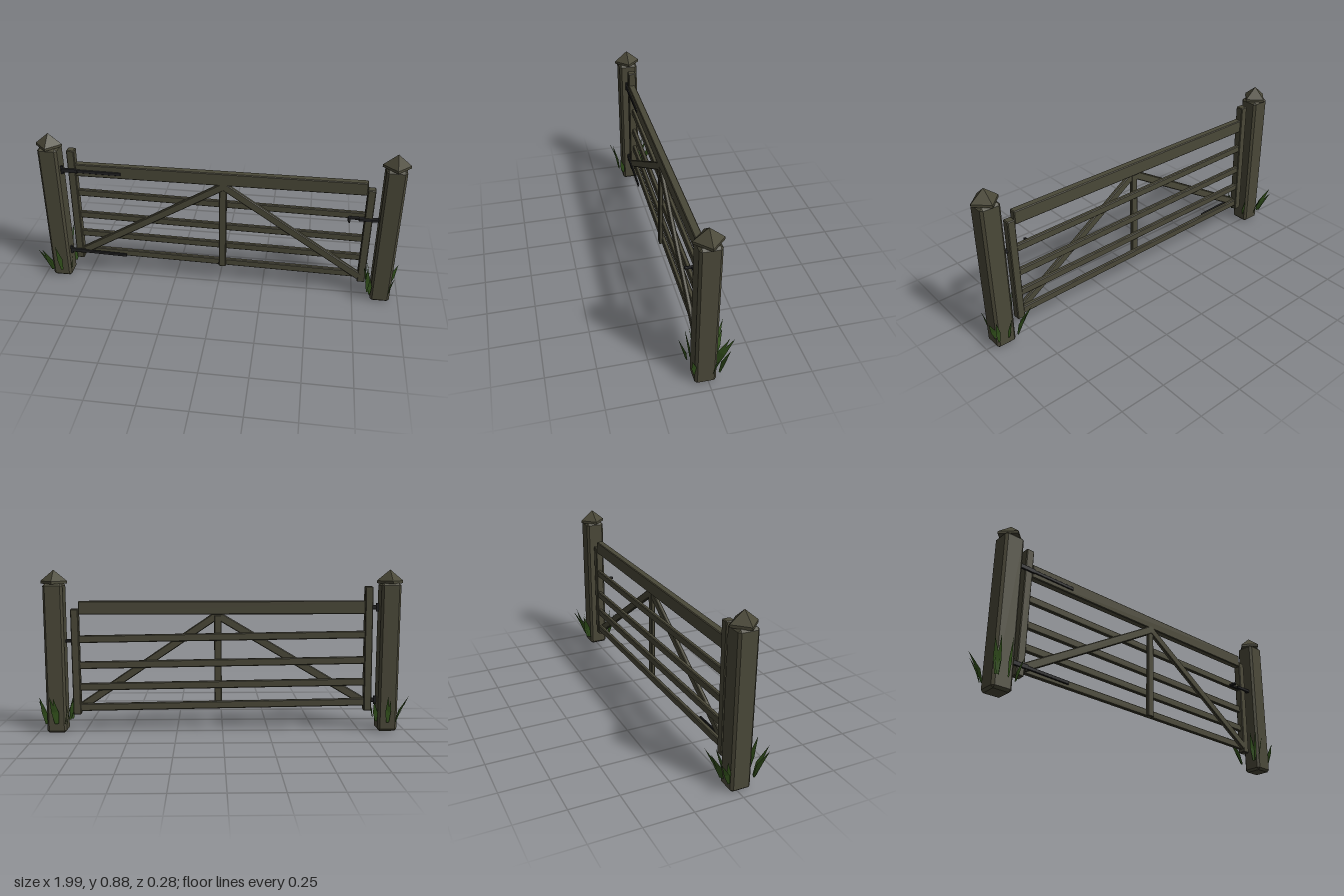
import * as THREE from 'three';
import { ConvexGeometry } from 'three/addons/geometries/ConvexGeometry.js';

const wood = new THREE.MeshStandardMaterial({ color: 0x4a4838 });
wood.name = 'weathered wood';
const iron = new THREE.MeshStandardMaterial({ color: 0x202021 });
iron.name = 'dark iron';
const grass = new THREE.MeshStandardMaterial({ color: 0x33521c, side: THREE.DoubleSide });
grass.name = 'grass green';

// Box with all edges cut at 45 degrees
function chamferBox(w, h, d, c) {
  const pts = [];
  for (const x of [-1, 1]) for (const y of [-1, 1]) for (const z of [-1, 1]) {
    const X = w / 2, Y = h / 2, Z = d / 2;
    pts.push(
      new THREE.Vector3(x * X, y * (Y - c), z * (Z - c)),
      new THREE.Vector3(x * (X - c), y * Y, z * (Z - c)),
      new THREE.Vector3(x * (X - c), y * (Y - c), z * Z));
  }
  return new ConvexGeometry(pts);
}

function add(parent, name, geometry, material, x = 0, y = 0, z = 0) {
  const m = new THREE.Mesh(geometry, material);
  m.name = name;
  m.position.set(x, y, z);
  parent.add(m);
  return m;
}

// Straight timber or strap between two points in the plane of the gate
function bar(parent, name, [x0, y0], [x1, y1], width, zBack, zFront, material = wood, c = 0.004) {
  const geo = chamferBox(Math.hypot(x1 - x0, y1 - y0), width, zFront - zBack, c);
  const m = add(parent, name, geo, material, (x0 + x1) / 2, (y0 + y1) / 2, (zBack + zFront) / 2);
  m.rotation.z = Math.atan2(y1 - y0, x1 - x0);
  return m;
}

// Gate post with a pointed cap set diagonally
function makePost(x, name) {
  const post = new THREE.Group();
  post.name = name;
  post.position.set(x, 0, 0.015);
  add(post, 'postShaft', chamferBox(0.105, 0.808, 0.105, 0.012), wood, 0, 0.404, 0);
  const cap = [[0.071, 0.806], [0.071, 0.82]].flatMap(([r, y]) =>
    [0, 1, 2, 3].map(i => new THREE.Vector3(r * Math.cos(i * Math.PI / 2), y, r * Math.sin(i * Math.PI / 2))));
  cap.push(new THREE.Vector3(0, 0.879, 0));
  add(post, 'postCap', new ConvexGeometry(cap), wood);
  return post;
}

// Flat pointed grass blade leaning from its root to its tip
function bladeGeometry(bx, bz, tx, tz, ty) {
  const y0 = 0.055, lean = Math.atan2(tz - bz, tx - bx) + Math.PI / 4;
  const ux = Math.cos(lean), uz = Math.sin(lean);
  const at = (t, w) => [
    bx + (tx - bx) * t * (0.5 + 0.5 * t) + ux * w,
    y0 + (ty - y0) * t,
    bz + (tz - bz) * t * (0.5 + 0.5 * t) + uz * w];
  const p = [at(0, -0.006), at(0, 0.006), at(0.42, 0.014), at(1, 0), at(0.42, -0.014)];
  const tris = [0, 1, 2, 0, 2, 4, 4, 2, 3].flatMap(i => p[i]);
  const g = new THREE.BufferGeometry();
  g.setAttribute('position', new THREE.Float32BufferAttribute(tris, 3));
  g.computeVertexNormals();
  return g;
}

export function createModel() {
  const model = new THREE.Group();
  model.name = 'fieldGate';
  model.add(makePost(-0.9, 'rightPost'), makePost(0.9, 'leftPost'));

  const gate = new THREE.Group();
  gate.name = 'gate';
  model.add(gate);

  // Upright stiles at both ends
  bar(gate, 'hingeStile', [-0.793, 0.11], [-0.786, 0.79], 0.042, -0.014, 0.03);
  bar(gate, 'latchStile', [0.791, 0.095], [0.793, 0.672], 0.042, -0.012, 0.03);

  // Broad top rail and four thinner rails that sag towards the latch
  bar(gate, 'topRail', [-0.768, 0.677], [0.772, 0.677], 0.072, -0.008, 0.031);
  for (const [l, r] of [[0.53, 0.508], [0.39, 0.366], [0.27, 0.247], [0.158, 0.134]])
    bar(gate, 'rail', [-0.775, l], [0.778, r], 0.04, -0.008, 0.014);

  // Braces meeting at the top middle, with a vertical strut
  bar(gate, 'rightBrace', [-0.775, 0.157], [0.045, 0.645], 0.042, 0.01, 0.031);
  bar(gate, 'leftBrace', [0.015, 0.645], [0.78, 0.128], 0.042, 0.01, 0.031);
  bar(gate, 'middleStrut', [0.024, 0.125], [0.026, 0.635], 0.04, 0.008, 0.029);

  // Strap hinges with pins on the post
  for (const [y, drop] of [[0.675, 0.004], [0.162, 0.01]]) {
    const hinge = new THREE.Group();
    hinge.name = 'hinge';
    gate.add(hinge);
    bar(hinge, 'hingeStrap', [-0.845, y], [-0.52, y - drop], 0.018, 0.027, 0.037, iron, 0.002);
    bar(hinge, 'hingePlate', [-0.84, y], [-0.755, y - 0.001], 0.024, 0.026, 0.038, iron, 0.002);
    add(hinge, 'hingePin', new THREE.CylinderGeometry(0.008, 0.008, 0.045, 6), iron, -0.84, y, 0.03);
  }

  // Sliding latch and its handle
  bar(gate, 'latchBolt', [0.69, 0.497], [0.85, 0.497], 0.014, 0.012, 0.026, iron, 0.002);
  bar(gate, 'latchPlate', [0.742, 0.497], [0.845, 0.497], 0.018, 0.024, 0.036, iron, 0.002);
  bar(gate, 'latchHandle', [0.685, 0.497], [0.697, 0.497], 0.014, 0.015, 0.06, iron, 0.002);

  // Grass tufts: root x, root z, tip x, tip z, tip height
  const tufts = {
    rightGrass: [
      [-0.95, 0.08, -0.995, 0.13, 0.21], [-0.94, 0.085, -0.97, 0.14, 0.22], [-0.945, 0.09, -0.98, 0.12, 0.18],
      [-0.94, -0.045, -0.998, -0.09, 0.21], [-0.95, -0.05, -0.98, -0.11, 0.19],
      [-0.89, -0.06, -0.875, -0.14, 0.225], [-0.9, -0.055, -0.895, -0.12, 0.2],
      [-0.84, -0.02, -0.82, -0.05, 0.17], [-0.84, 0.07, -0.815, 0.09, 0.17], [-0.89, 0.09, -0.9, 0.125, 0.235]],
    leftGrass: [
      [0.9, -0.055, 0.915, -0.13, 0.22], [0.89, -0.05, 0.9, -0.11, 0.21], [0.84, -0.05, 0.785, -0.11, 0.23],
      [0.85, -0.06, 0.81, -0.1, 0.19], [0.95, -0.02, 0.99, -0.04, 0.18], [0.95, -0.05, 0.975, -0.09, 0.21],
      [0.84, 0.04, 0.795, 0.06, 0.22], [0.83, 0.06, 0.815, 0.085, 0.23], [0.84, 0.08, 0.83, 0.12, 0.19],
      [0.94, 0.065, 0.962, 0.085, 0.17]]
  };
  for (const [name, blades] of Object.entries(tufts)) {
    const tuft = new THREE.Group();
    tuft.name = name;
    model.add(tuft);
    for (const b of blades) add(tuft, 'grassBlade', bladeGeometry(...b), grass);
  }
  return model;
}
